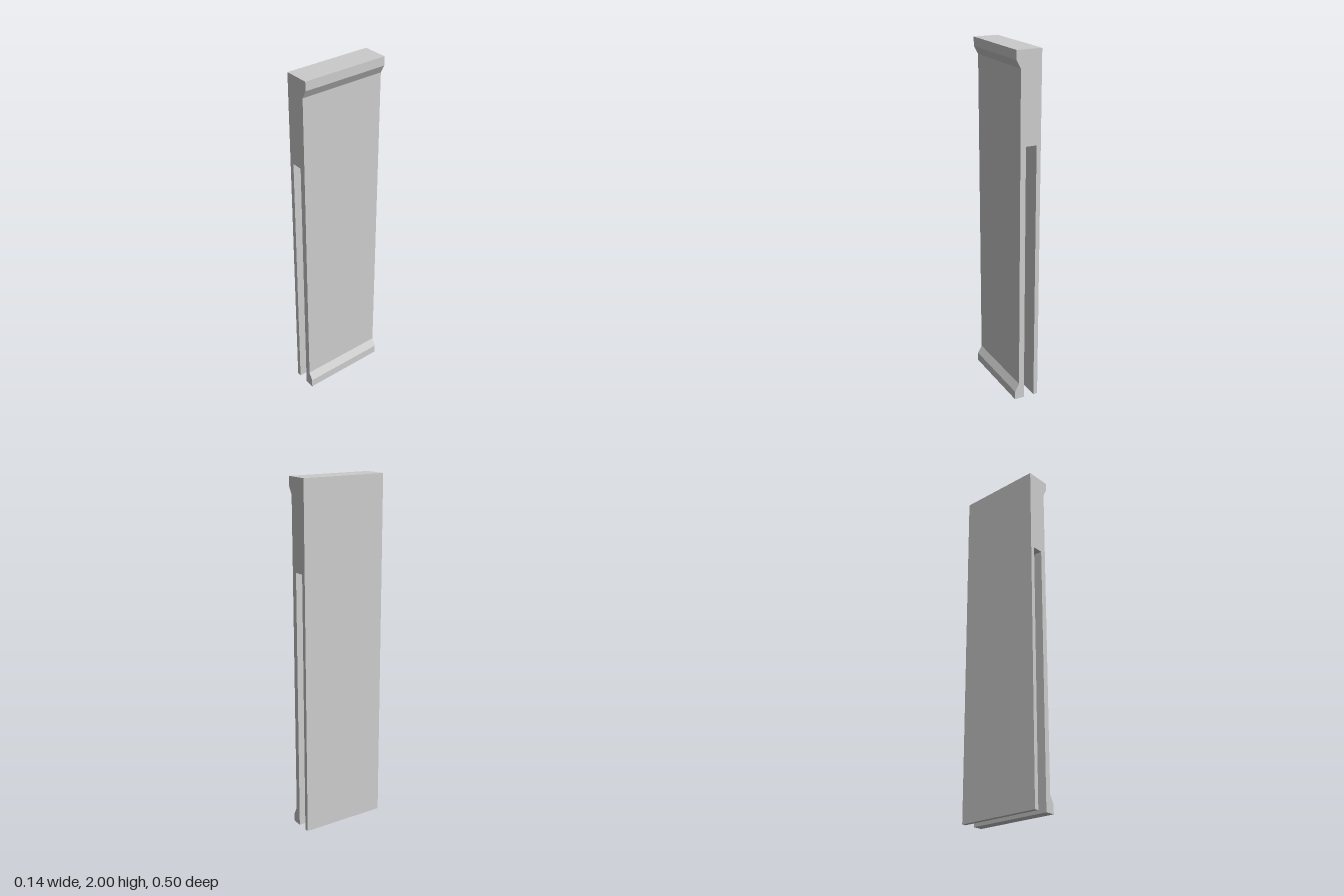
import * as THREE from 'three';

const DEPTH = 0.5;      // along z
const OUTER = 0.0725;   // half of the full thickness, at the lips
const FACE = 0.0475;    // recessed face between the lips
const SLOT = [-0.0475, 0.015];
const SLOT_TOP = 1.5;

export function createModel() {
  const group = new THREE.Group();
  group.name = 'slottedClip';

  // Side profile: thin back leg, slot open at the bottom, front leg with a chamfered lip at each end
  const profile = new THREE.Shape([
    [-OUTER, 0], [SLOT[0], 0], [SLOT[0], SLOT_TOP], [SLOT[1], SLOT_TOP], [SLOT[1], 0],
    [OUTER, 0], [OUTER, 0.05], [FACE, 0.095],
    [FACE, 1.905], [OUTER, 1.95], [OUTER, 2], [-OUTER, 2],
  ].map(([x, y]) => new THREE.Vector2(x, y)));

  const geometry = new THREE.ExtrudeGeometry(profile, { depth: DEPTH, bevelEnabled: false });
  geometry.translate(0, 0, -DEPTH / 2);

  const body = new THREE.Mesh(geometry, new THREE.MeshStandardMaterial({ color: 0xcccccc }));
  body.name = 'clipBody';
  group.add(body);
  return group;
}
